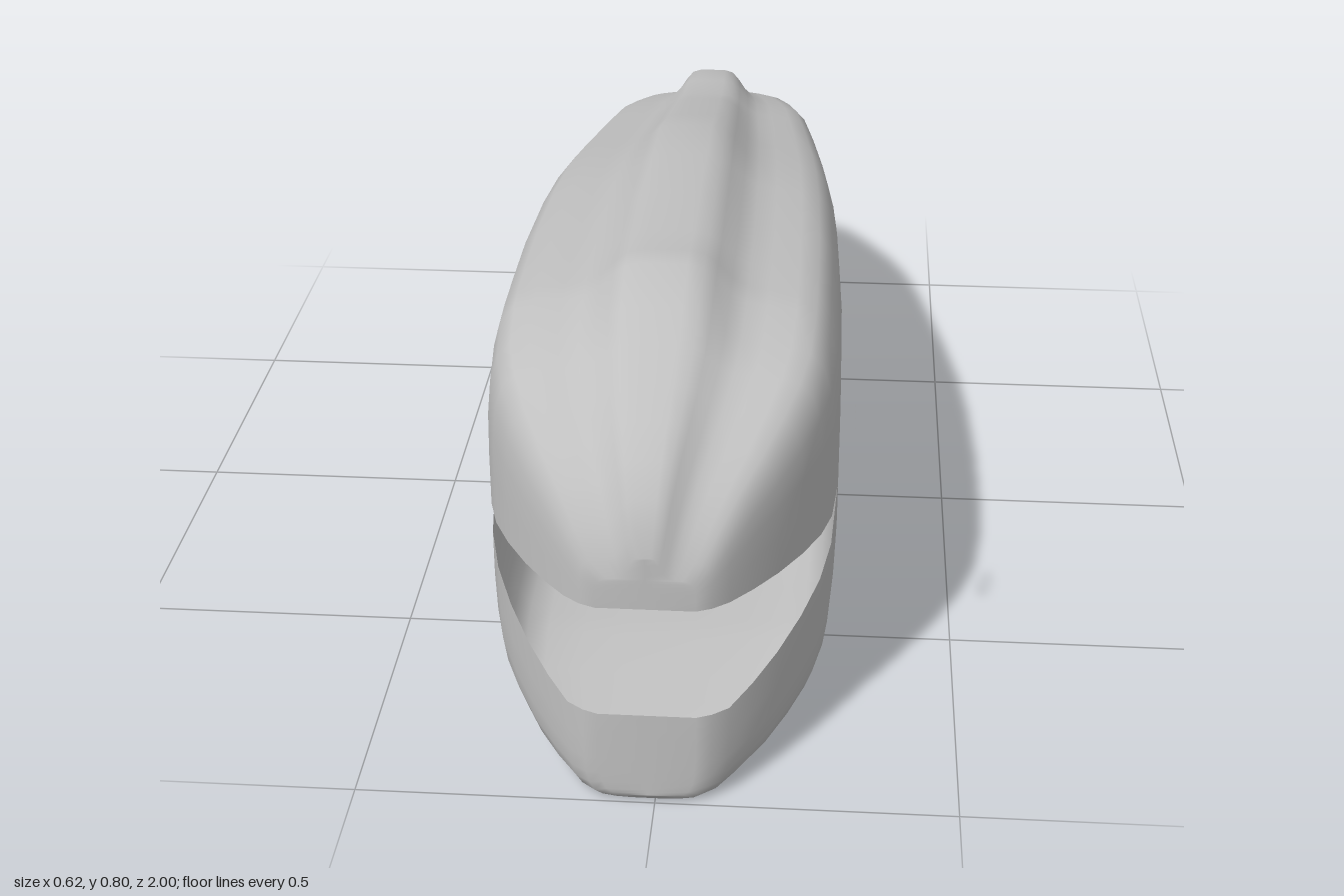
import * as THREE from 'three';
import { mergeVertices, mergeGeometries } from 'three/addons/utils/BufferGeometryUtils.js';

// Stations from tail to nose: z, half width, shoulder height, ridge height, belly height
const STATIONS = [
  [-1, 0.05, 0.485, 0.51, 0.28], [-0.985, 0.08, 0.495, 0.53, 0.26], [-0.96, 0.1, 0.505, 0.548, 0.245],
  [-0.9, 0.125, 0.53, 0.58, 0.228], [-0.8, 0.165, 0.563, 0.62, 0.2], [-0.7, 0.198, 0.588, 0.658, 0.183],
  [-0.6, 0.22, 0.612, 0.67, 0.175], [-0.5, 0.233, 0.63, 0.678, 0.168], [-0.4, 0.246, 0.647, 0.705, 0.152],
  [-0.2, 0.268, 0.682, 0.748, 0.115], [-0.05, 0.281, 0.707, 0.785, 0.088], [0.1, 0.29, 0.722, 0.787, 0.072],
  [0.3, 0.297, 0.73, 0.797, 0.062], [0.45, 0.298, 0.73, 0.79, 0.06], [0.55, 0.298, 0.729, 0.8, 0.058],
  [0.6, 0.297, 0.724, 0.798, 0.055], [0.7, 0.289, 0.703, 0.767, 0.042], [0.76, 0.272, 0.678, 0.73, 0.033],
  [0.82, 0.243, 0.645, 0.692, 0.025], [0.88, 0.206, 0.605, 0.655, 0.014], [0.93, 0.168, 0.565, 0.615, 0.008],
  [0.97, 0.132, 0.515, 0.567, 0.004], [0.99, 0.105, 0.47, 0.52, 0.006], [1, 0.08, 0.44, 0.48, 0.018],
];
const MOUTH_Y = 0.385;

// Half sections, x as a share of half width; the third value is the rise towards the ridge
const UPPER = [
  [1, 0, 0], [1, 0.3, 0], [0.995, 0.55, 0], [0.975, 0.74, 0], [0.93, 0.88, 0], [0.85, 0.965, 0], [0.74, 0.99, 0],
  [0.58, 1, 0.02], [0.46, 1, 0.1], [0.37, 1, 0.33], [0.29, 1, 0.68], [0.22, 1, 0.92], [0.13, 1, 1], [0, 1, 1],
];
const LOWER = [
  [1, 1], [1, 0.7], [0.99, 0.45], [0.965, 0.28], [0.92, 0.16], [0.84, 0.07], [0.72, 0.03], [0.5, 0.008], [0.25, 0], [0, 0],
];

// Mirrors a half section given from the +x side to the middle
function mirrored(half) {
  return [...half, ...half.slice(0, -1).reverse().map(([x, y]) => [-x, y])];
}

function upperRing([, w, s, t]) {
  return mirrored(UPPER.map(([x, f, r]) => [x * w, MOUTH_Y + f * (s - MOUTH_Y) + r * (t - s)]));
}

// The lower lip slopes down from the mouth corner to the chin
function lowerRing([z, w, , , b]) {
  const lip = MOUTH_Y - 0.205 * THREE.MathUtils.clamp((z - 0.6) / 0.37, 0, 1);
  return mirrored(LOWER.map(([x, f]) => [x * w, b + f * (lip - b)])).reverse();
}

// Skins the rings and closes both ends onto the middle line
function loft(ringAt) {
  const rings = STATIONS.map((s) => ringAt(s).map(([x, y]) => [x, y, s[0]]));
  const flat = (ring) => ring.map(([, y, z]) => [0, y, z]);
  rings.unshift(flat(rings[0]));
  rings.push(flat(rings[rings.length - 1]));
  const n = rings[0].length;
  const index = [];
  for (let j = 0; j < rings.length - 1; j++) {
    for (let i = 0; i < n - 1; i++) {
      const a = j * n + i, b = a + 1, c = a + n, d = c + 1;
      index.push(a, b, c, b, d, c);
    }
  }
  const geometry = new THREE.BufferGeometry();
  geometry.setAttribute('position', new THREE.Float32BufferAttribute(rings.flat(2), 3));
  geometry.setIndex(index);
  return geometry;
}

export function createModel() {
  const grey = new THREE.MeshStandardMaterial({ color: 0xc0c0c0, side: THREE.DoubleSide });
  grey.name = 'grey';
  const model = new THREE.Group();
  model.name = 'whaleBody';

  // Hollow body shell with an open mouth
  const shell = mergeVertices(mergeGeometries([loft(upperRing), loft(lowerRing)]), 1e-4);
  shell.computeVertexNormals();
  const body = new THREE.Mesh(shell, grey);
  body.name = 'bodyShell';
  body.position.x = -0.012;
  model.add(body);

  // Flat eye ring standing off the left side of the head
  const eye = new THREE.Mesh(new THREE.RingGeometry(0.021, 0.028, 32), grey);
  eye.name = 'eyeRing';
  eye.rotation.y = Math.PI / 2;
  eye.position.set(0.31, 0.58, 0.715);
  model.add(eye);

  return model;
}
